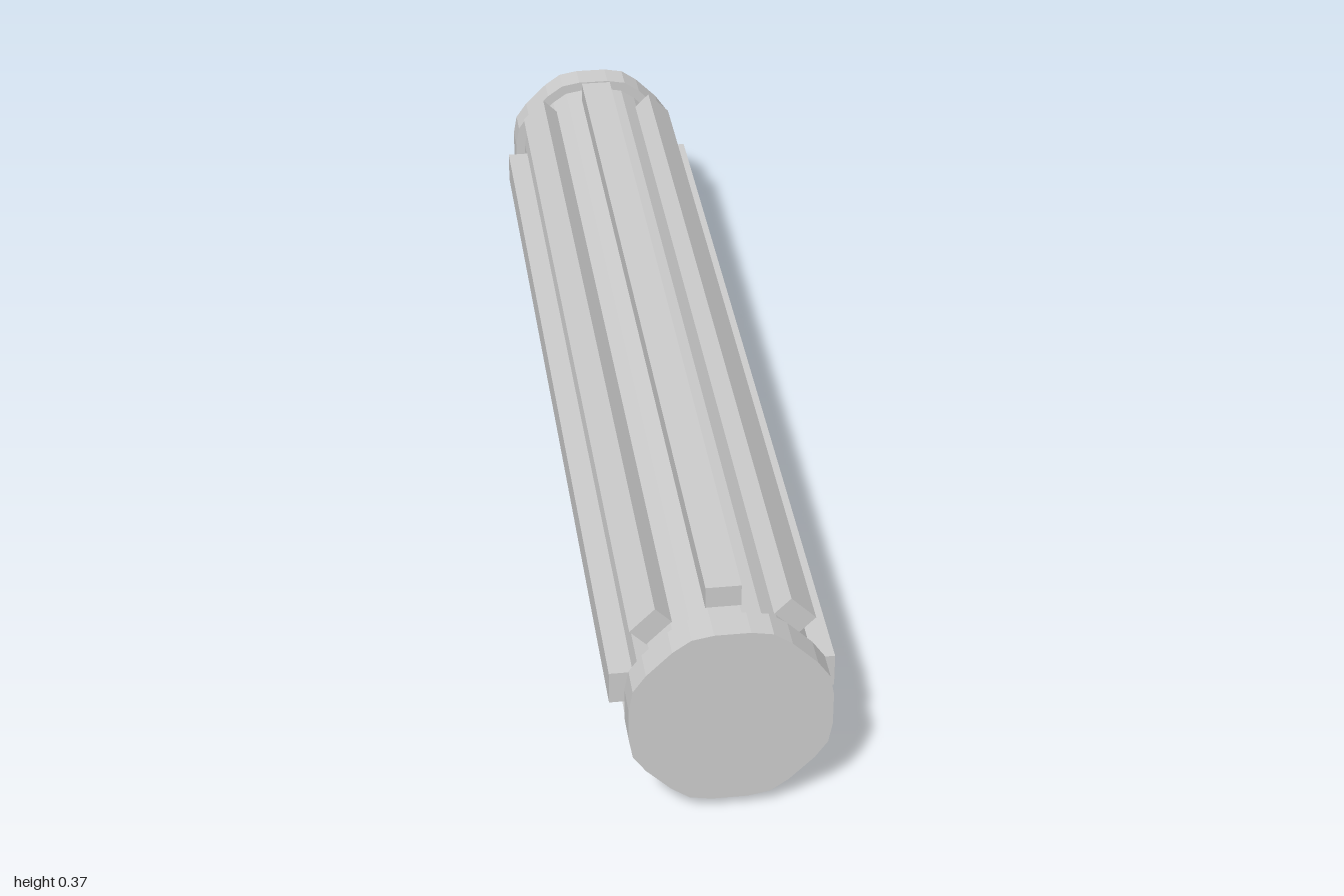
import * as THREE from 'three';

const CENTER_Y = 0.187;
const material = new THREE.MeshStandardMaterial({ color: 0xcccccc, flatShading: true });

// Eight flats with a raised ridge between each neighbouring pair
function profile(scale) {
  const points = [];
  for (let i = 0; i < 8; i++) {
    const a = i * Math.PI / 4;
    for (const [deg, r] of [[-10.1, 0.1695], [10.1, 0.1695], [22.5, 0.1735]]) {
      const t = a + THREE.MathUtils.degToRad(deg);
      points.push(new THREE.Vector2(Math.cos(t) * r * scale, Math.sin(t) * r * scale));
    }
  }
  return new THREE.Shape(points);
}

// Prism along z, centred on the given z
function prism(name, scale, length, z) {
  const geometry = new THREE.ExtrudeGeometry(profile(scale), { depth: length, bevelEnabled: false });
  geometry.translate(0, 0, z - length / 2);
  const mesh = new THREE.Mesh(geometry, material);
  mesh.name = name;
  return mesh;
}

export function createModel() {
  const group = new THREE.Group();
  group.name = 'ribbedGrip';
  const grip = new THREE.Group();
  grip.name = 'grip';
  grip.position.y = CENTER_Y;
  group.add(grip);

  // Core and the two wider end caps
  grip.add(prism('core', 0.888, 1.9, 0));
  grip.add(prism('frontCap', 1, 0.055, 0.9725));
  grip.add(prism('backCap', 1, 0.055, -0.9725));

  // Eight lengthwise ribs, one on each flat
  const ribGeometry = new THREE.BoxGeometry(0.052, 0.059, 1.8);
  ribGeometry.translate(0.161, 0, 0);
  for (let i = 0; i < 8; i++) {
    const rib = new THREE.Mesh(ribGeometry, material);
    rib.name = `rib${i + 1}`;
    rib.rotation.z = i * Math.PI / 4;
    grip.add(rib);
  }
  return group;
}
